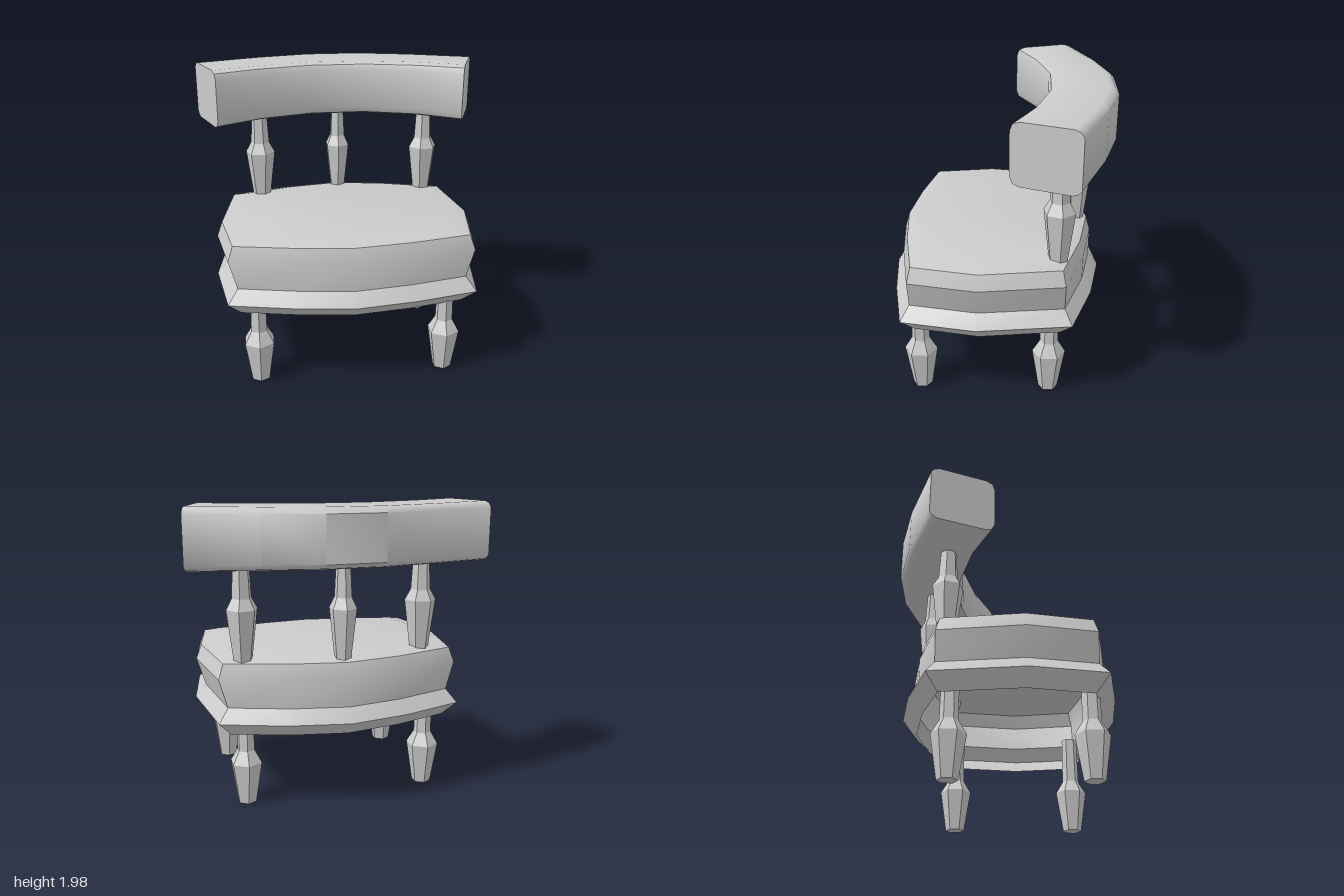
import * as THREE from 'three';
import { toCreasedNormals } from 'three/addons/utils/BufferGeometryUtils.js';

const material = new THREE.MeshStandardMaterial({ color: 0xcccccc });
const shellMaterial = new THREE.MeshStandardMaterial({ color: 0xcccccc, side: THREE.DoubleSide });

// Skin a row of matching closed sections, with optional end caps
function loft(sections, capStart, capEnd, crease) {
  const pos = [];
  const tri = (...pts) => pts.forEach((p) => pos.push(...p));
  const n = sections[0].length;
  for (let i = 0; i < sections.length - 1; i++) {
    for (let j = 0; j < n; j++) {
      const k = (j + 1) % n;
      const a = sections[i][j], b = sections[i][k];
      const c = sections[i + 1][k], d = sections[i + 1][j];
      tri(a, b, c);
      tri(a, c, d);
    }
  }
  const first = sections[0], last = sections[sections.length - 1];
  for (let j = 1; j < n - 1; j++) {
    if (capStart) tri(first[0], first[j + 1], first[j]);
    if (capEnd) tri(last[0], last[j], last[j + 1]);
  }
  const g = new THREE.BufferGeometry();
  g.setAttribute('position', new THREE.Float32BufferAttribute(pos, 3));
  return toCreasedNormals(g, crease);
}

// Six-sided turned post from [radius, height] pairs
function turnedPost(profile) {
  const pts = profile.map(([r, y]) => new THREE.Vector2(r, y));
  pts.unshift(new THREE.Vector2(0, profile[0][1]));
  pts.push(new THREE.Vector2(0, profile[profile.length - 1][1]));
  return toCreasedNormals(new THREE.LatheGeometry(pts, 6), 0.35);
}

export function createModel() {
  const group = new THREE.Group();
  const add = (name, geometry, mat = material) => {
    const mesh = new THREE.Mesh(geometry, mat);
    mesh.name = name;
    group.add(mesh);
    return mesh;
  };

  // Seat: bowed outline stacked up a flared profile, hollow underneath
  const half = [[0.4, 0.7], [0.82, 0.61], [0.9, 0.12], [0.82, -0.49], [0.4, -0.63]];
  const outline = [[0, 0.75], ...half, [0, -0.7], ...half.slice().reverse().map(([x, z]) => [-x, z])];
  const rings = [ // height, x scale, z scale
    [0.51, 0.9, 0.86], [0.61, 1, 1], [0.7, 0.92, 0.905],
    [0.89, 0.985, 0.905], [0.99, 0.945, 0.865], [1.015, 0.82, 0.76],
  ];
  const seatSections = rings.map(([y, sx, sz]) =>
    outline.map(([x, z]) => [x * sx, y, 0.025 + (z - 0.025) * sz]));
  add('seat', loft(seatSections, false, true, 0.45), shellMaterial);

  // Curved back rail: chamfered section swept between inner and outer arcs
  const railHalf = [ // inner x, inner z, outer x, outer z, bottom height
    [0.19, -0.31, 0.19, -0.755, 1.605],
    [0.555, -0.215, 0.56, -0.66, 1.6],
    [0.845, -0.085, 1, -0.495, 1.587],
  ];
  const mirrored = railHalf.slice().reverse().map(([a, b, c, d, e]) => [-a, b, -c, d, e]);
  const railProfile = [ // 0 inner to 1 outer, 0 bottom to 1 top
    [1, 0.1], [1, 0.9], [0.95, 0.97], [0.87, 1], [0.14, 1], [0.04, 0.96], [0, 0.85],
    [0, 0.15], [0.04, 0.04], [0.14, 0], [0.87, 0], [0.95, 0.03],
  ];
  const railSections = [...mirrored, ...railHalf].map(([ix, iz, ox, oz, bottom]) =>
    railProfile.map(([t, h]) => [
      ix + (ox - ix) * t, bottom + (1.977 - bottom) * h, iz + (oz - iz) * t,
    ]));
  add('backRail', loft(railSections, true, true, 0.7));

  // Legs, running up inside the hollow seat
  const legGeometry = turnedPost([[0.065, 0], [0.11, 0.285], [0.06, 0.37], [0.055, 0.7]]);
  for (const [name, z] of [['frontLeg', 0.51], ['backLeg', -0.35]]) {
    for (const x of [-0.63, 0.63]) add(name, legGeometry).position.set(x, 0, z);
  }

  // Spindles between seat and rail, outer ones turned to follow the curve
  const spindleGeometry = turnedPost([[0.06, 0.97], [0.105, 1.33], [0.066, 1.4], [0.053, 1.64]]);
  for (const [x, z, turn, s] of [[-0.565, -0.39, 0.35, 1], [0.015, -0.525, 0, 0.87], [0.64, -0.39, -0.35, 1]]) {
    const spindle = add('backSpindle', spindleGeometry);
    spindle.position.set(x, 0, z);
    spindle.rotation.y = turn;
    spindle.scale.set(s, 1, s);
  }

  return group;
}
